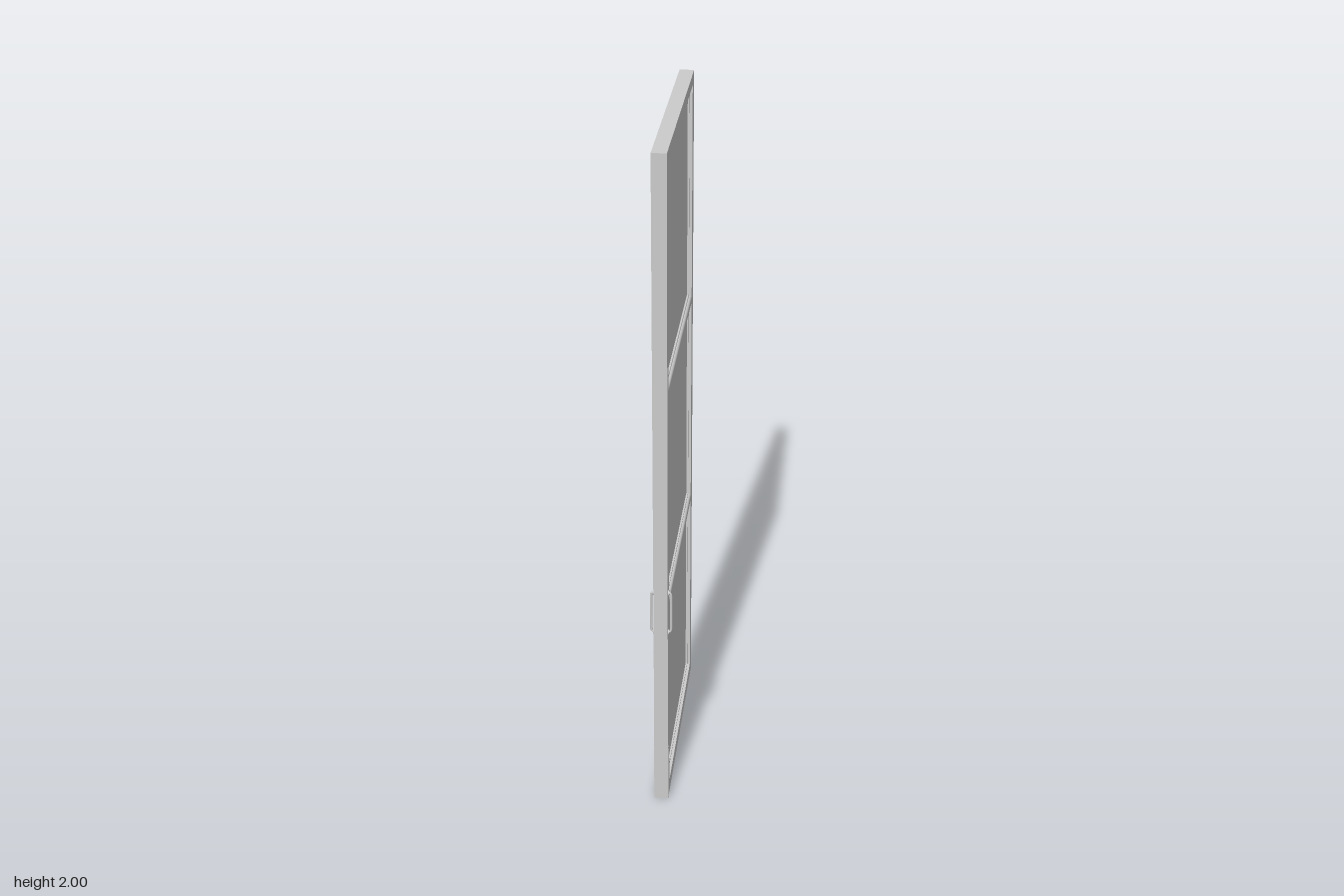
import * as THREE from 'three';
import { RoundedBoxGeometry } from 'three/addons/geometries/RoundedBoxGeometry.js';

const H = 2, W = 0.66, T = 0.04;          // door height, width (along z), thickness
const Z0 = -0.295, Z1 = 0.3;              // opening between the stiles
const bays = [[0.04, 0.645], [0.675, 1.31], [1.34, 1.968]];

export function createModel() {
  const group = new THREE.Group();
  const material = new THREE.MeshStandardMaterial({ color: 0xcccccc });
  const add = (name, geometry, x = 0, y = 0, z = 0) => {
    const mesh = new THREE.Mesh(geometry, material);
    mesh.name = name;
    mesh.position.set(x, y, z);
    group.add(mesh);
    return mesh;
  };
  const rect = (Type, a, b, c, d) => new Type([
    new THREE.Vector2(a, c), new THREE.Vector2(b, c),
    new THREE.Vector2(b, d), new THREE.Vector2(a, d)]);

  // Outer frame: stiles with top and bottom rails
  const outline = rect(THREE.Shape, -W / 2, W / 2, 0, H);
  outline.holes.push(rect(THREE.Path, -Z1, -Z0, bays[0][0], bays[2][1]));
  const frame = new THREE.ExtrudeGeometry(outline, { depth: T, bevelEnabled: false });
  frame.translate(0, 0, -T / 2).rotateY(Math.PI / 2);
  add('frame', frame);

  const zMid = (Z0 + Z1) / 2, zLen = Z1 - Z0;

  // Rounded cross rails between the panels
  for (let i = 0; i < 2; i++) {
    const low = bays[i][1], high = bays[i + 1][0];
    add('crossRail', new RoundedBoxGeometry(T - 0.001, high - low, zLen + 0.02, 3, 0.008),
      0, (low + high) / 2, zMid);
  }

  // Recessed panels, each edged by a thin bead
  const bead = 0.006, beadT = 0.024;
  for (const [low, high] of bays) {
    const yMid = (low + high) / 2, h = high - low;
    add('panel', new THREE.BoxGeometry(0.014, h, zLen), 0, yMid, zMid);
    for (const s of [-1, 1]) {
      add('sideBead', new THREE.BoxGeometry(beadT, h, bead), 0, yMid, zMid + s * (zLen - bead) / 2);
      add('rail Bead'.replace(' ', ''), new THREE.BoxGeometry(beadT, bead, zLen - 2 * bead),
        0, yMid + s * (h - bead) / 2, zMid);
    }
  }

  // Pull handles with round mounts and lower edge plates, on both faces
  for (const s of [-1, 1]) {
    const point = (x, y) => new THREE.Vector3(s * x, y, 0.315);
    const path = new THREE.CurvePath();
    path.add(new THREE.LineCurve3(point(0.018, 0.585), point(0.022, 0.585)));
    path.add(new THREE.QuadraticBezierCurve3(point(0.022, 0.585), point(0.028, 0.585), point(0.028, 0.6)));
    path.add(new THREE.LineCurve3(point(0.028, 0.6), point(0.028, 0.7)));
    path.add(new THREE.QuadraticBezierCurve3(point(0.028, 0.7), point(0.028, 0.715), point(0.022, 0.715)));
    path.add(new THREE.LineCurve3(point(0.022, 0.715), point(0.018, 0.715)));
    add('handle', new THREE.TubeGeometry(path, 60, 0.0035, 10));
    for (const y of [0.585, 0.715]) {
      const mount = new THREE.CylinderGeometry(0.008, 0.008, 0.003, 20).rotateZ(Math.PI / 2);
      add('handleMount', mount, s * 0.021, y, 0.315);
    }
    add('edgePlate', new THREE.BoxGeometry(0.001, 0.17, 0.024), s * 0.0203, 0.095, 0.316);
  }
  return group;
}
